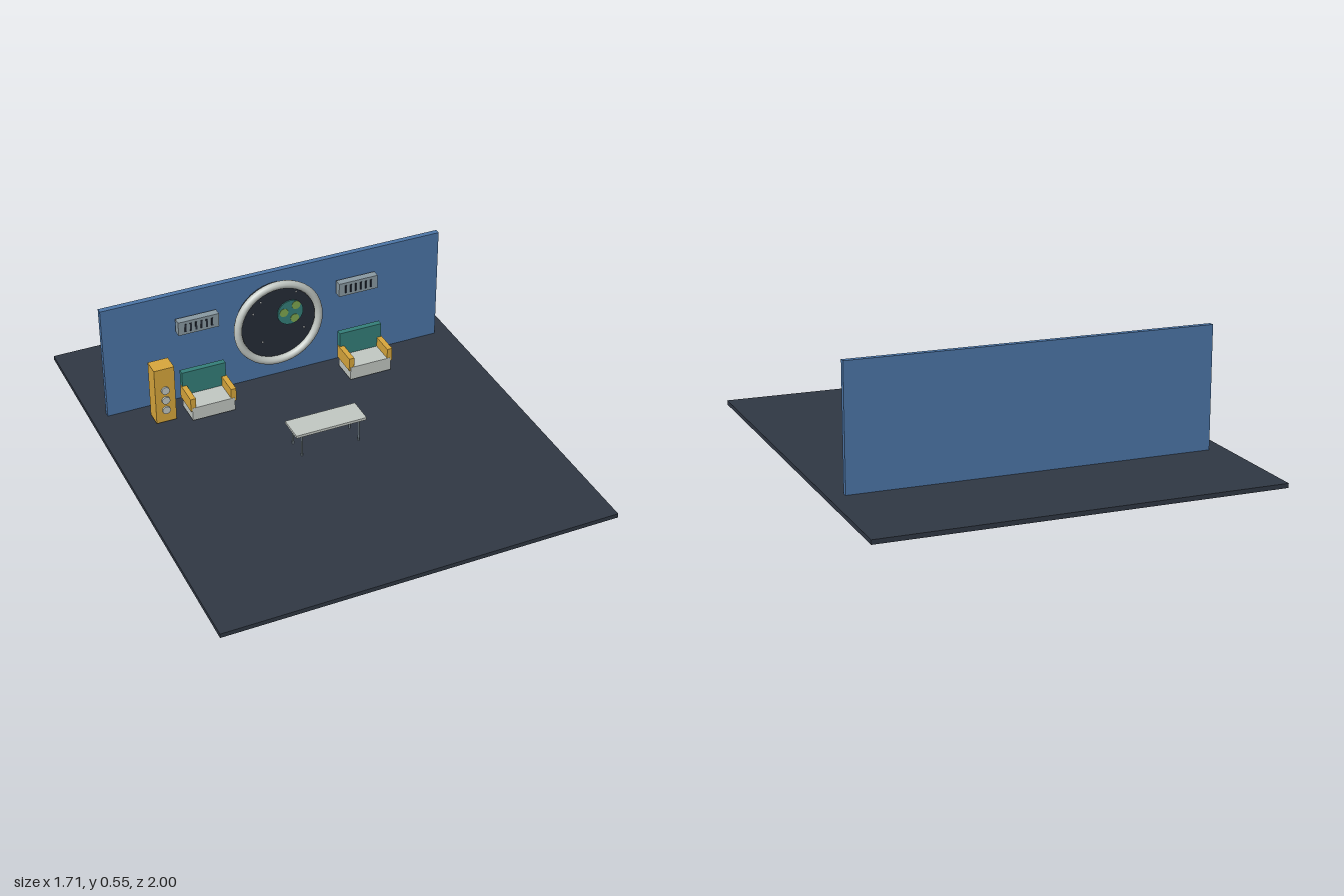
import * as THREE from 'three';

const mat = (color) => new THREE.MeshStandardMaterial({ color });
const M = {
  floor: mat(0x303844), wall: mat(0x4c76a8), pale: mat(0xc3c9c4), teal: mat(0x35807a),
  amber: mat(0xd9a83c), vent: mat(0x8a9aa3), dark: mat(0x262c37), land: mat(0x7fa850), star: mat(0xe8ecec),
};

function add(parent, name, geometry, material, x, y, z) {
  const mesh = new THREE.Mesh(geometry, material);
  mesh.name = name;
  mesh.position.set(x, y, z);
  parent.add(mesh);
  return mesh;
}

// Box given by its lower and upper limits on each axis
function box(parent, name, material, [x0, x1], [y0, y1], [z0, z1]) {
  return add(parent, name, new THREE.BoxGeometry(x1 - x0, y1 - y0, z1 - z0), material,
    (x0 + x1) / 2, (y0 + y1) / 2, (z0 + z1) / 2);
}

// Round plate facing the front
function disc(parent, name, material, radius, depth, x, y, z, sides = 24) {
  const geometry = new THREE.CylinderGeometry(radius, radius, depth, sides).rotateX(Math.PI / 2);
  return add(parent, name, geometry, material, x, y, z);
}

function group(parent, name, x = 0, y = 0, z = 0) {
  const g = new THREE.Group();
  g.name = name;
  g.position.set(x, y, z);
  parent.add(g);
  return g;
}

function addPorthole(root) {
  const g = group(root, 'porthole', 0, 0.306, 0);
  disc(g, 'windowPane', M.dark, 0.19, 0.025, 0, 0, -0.453, 40);
  add(g, 'windowRing', new THREE.TorusGeometry(0.19, 0.018, 10, 40), M.pale, 0, 0, -0.432);

  // Planet with patches of land
  disc(g, 'planet', M.teal, 0.06, 0.006, 0.058, 0.036, -0.438, 28);
  for (const [x, y] of [[0.027, 0.042], [0.084, 0.068], [0.077, 0.004]])
    disc(g, 'land', M.land, 0.02, 0.003, x, y, -0.434, 16);

  // Stars
  const stars = [[-0.078, 0.119], [0.087, 0.132], [-0.114, 0.068], [0.123, -0.059], [-0.073, -0.086]];
  for (const [x, y] of stars)
    add(g, 'star', new THREE.SphereGeometry(0.004, 8, 6), M.star, x, y, -0.439);
}

function addChair(root, x) {
  const g = group(root, 'armchair', x);
  box(g, 'seat', M.pale, [-0.097, 0.097], [0.028, 0.091], [-0.395, -0.275]);
  box(g, 'backrest', M.teal, [-0.1, 0.1], [0.085, 0.205], [-0.408, -0.382]);
  for (const s of [-1, 1]) {
    const arm = [s * 0.08, s * 0.104].sort((a, b) => a - b);
    box(g, 'armrest', M.amber, arm, [0.075, 0.137], [-0.398, -0.276]);
  }
}

function addVent(root, x) {
  const g = group(root, 'wallVent', x, 0.406, 0);
  box(g, 'ventBox', M.vent, [-0.092, 0.092], [-0.032, 0.032], [-0.449, -0.415]);
  for (let i = 0; i < 6; i++) {
    const sx = (i - 2.5) * 0.024;
    box(g, 'ventSlot', M.dark, [sx - 0.004, sx + 0.004], [-0.019, 0.019], [-0.418, -0.412]);
  }
}

function addTable(root) {
  const g = group(root, 'lowTable', -0.009, 0, 0.083);
  box(g, 'tableTop', M.pale, [-0.16, 0.16], [0.123, 0.135], [-0.058, 0.058]);
  for (const x of [-0.13, 0.13])
    for (const z of [-0.046, 0.046])
      add(g, 'tableLeg', new THREE.CylinderGeometry(0.004, 0.004, 0.107, 10), M.vent, x, 0.0715, z);
}

function addAirCabinet(root) {
  const g = group(root, 'airCabinet', -0.57);
  box(g, 'cabinet', M.amber, [-0.045, 0.045], [0.027, 0.295], [-0.393, -0.318]);
  for (const y of [0.088, 0.138, 0.188])
    disc(g, 'dial', M.pale, 0.018, 0.012, 0, y, -0.316);
}

export function createModel() {
  const root = new THREE.Group();
  root.name = 'lounge';
  box(root, 'floor', M.floor, [-0.855, 0.855], [0, 0.019], [-1, 1]);
  box(root, 'backWall', M.wall, [-0.784, 0.784], [0.017, 0.548], [-0.491, -0.466]);
  addPorthole(root);
  for (const s of [-1, 1]) {
    addChair(root, s * 0.37);
    addVent(root, s * 0.372);
  }
  addTable(root);
  addAirCabinet(root);
  return root;
}
